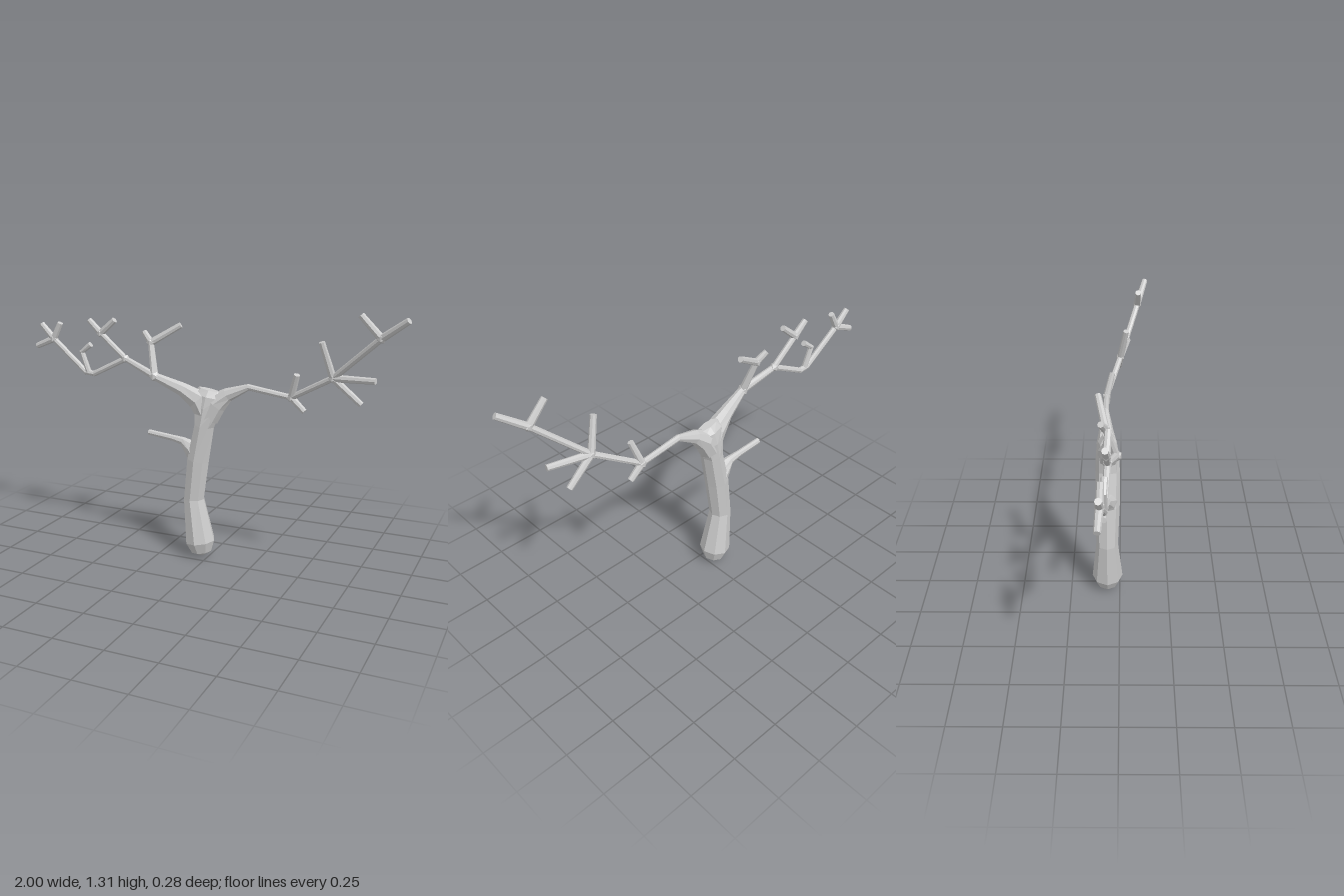
import * as THREE from 'three';

const SIDES = 8;
const TWIG = 0.015;
const material = new THREE.MeshStandardMaterial({ color: 0xcccccc, flatShading: true });

// Closed tube through sections [x, y, z, radius, optional depth radius]
function loft(sections) {
  const pts = sections.map(s => new THREE.Vector3(s[0], s[1], s[2]));
  const zAxis = new THREE.Vector3(0, 0, 1);
  const pos = [], index = [];
  const last = pts.length - 1;
  pts.forEach((p, i) => {
    const t = new THREE.Vector3();
    if (i > 0) t.add(p.clone().sub(pts[i - 1]).normalize());
    if (i < last) t.add(pts[i + 1].clone().sub(p).normalize());
    t.normalize();
    const u = t.clone().cross(zAxis).normalize();
    const v = t.clone().cross(u);
    const r = sections[i][3] ?? TWIG;
    const depth = sections[i][4] ?? r;
    for (let j = 0; j < SIDES; j++) {
      const a = (j / SIDES) * Math.PI * 2;
      const q = p.clone().addScaledVector(u, r * Math.cos(a)).addScaledVector(v, depth * Math.sin(a));
      pos.push(q.x, q.y, q.z);
    }
  });
  for (let i = 0; i < last; i++) {
    for (let j = 0; j < SIDES; j++) {
      const k = (j + 1) % SIDES;
      const a = i * SIDES + j, b = i * SIDES + k;
      index.push(a, b, b + SIDES, a, b + SIDES, a + SIDES);
    }
  }
  // End caps
  const start = pos.length / 3;
  pos.push(...pts[0].toArray(), ...pts[last].toArray());
  for (let j = 0; j < SIDES; j++) {
    const k = (j + 1) % SIDES;
    index.push(start, k, j, start + 1, last * SIDES + j, last * SIDES + k);
  }
  const geo = new THREE.BufferGeometry();
  geo.setAttribute('position', new THREE.Float32BufferAttribute(pos, 3));
  geo.setIndex(index);
  const flat = geo.toNonIndexed();
  flat.computeVertexNormals();
  return flat;
}

export function createModel() {
  const tree = new THREE.Group();
  tree.name = 'bareTree';

  const add = (name, sections) => {
    const mesh = new THREE.Mesh(loft(sections), material);
    mesh.name = name;
    tree.add(mesh);
  };
  // Slight swelling where twigs meet
  const knot = (p, r = 0.023) => {
    const mesh = new THREE.Mesh(new THREE.IcosahedronGeometry(r, 0), material);
    mesh.position.set(...p);
    mesh.name = 'knot';
    tree.add(mesh);
  };
  // Twigs fanning out from one joint
  const fan = (name, joint, tips) => {
    knot(joint);
    tips.forEach(tip => add(name, [[...joint, 0.018], tip]));
  };

  // Trunk with a rounded foot and a crown widening into the two limbs
  add('trunk', [
    [-0.035, 0.005, -0.063, 0.004],
    [-0.038, 0.03, -0.063, 0.053],
    [-0.045, 0.085, -0.063, 0.077],
    [-0.08, 0.31, -0.063, 0.054],
    [-0.055, 0.52, -0.06, 0.058, 0.06],
    [-0.02, 0.7, -0.058, 0.051, 0.059],
    [-0.005, 0.79, -0.06, 0.073, 0.055],
    [0.005, 0.85, -0.06, 0.082, 0.045],
    [0.01, 0.88, -0.06, 0.06, 0.022],
  ]);

  // Short side branch on the trunk
  add('sideBranch', [
    [-0.045, 0.51, -0.06, 0.055],
    [-0.085, 0.57, -0.062, 0.048],
    [-0.14, 0.602, -0.065, 0.022],
    [-0.2, 0.612, -0.068, 0.016],
    [-0.335, 0.626, -0.072],
  ]);

  // Right-hand limb
  const rightFork = [-0.27, 0.932, -0.015];
  const rightElbow = [-0.45, 1.0, -0.05];
  const rightBend = [-0.67, 0.907, -0.06];
  const rightHub = [-0.885, 1.07, -0.073];
  add('rightLimb', [
    [-0.01, 0.75, -0.058, 0.052],
    [-0.05, 0.825, -0.053, 0.058, 0.05],
    [-0.13, 0.873, -0.04, 0.036],
    [...rightFork, 0.02],
    [...rightElbow, 0.016],
    [-0.64, 0.907, -0.06],
    [-0.69, 0.912, -0.061],
    rightHub,
  ]);
  fan('rightTwig', rightHub, [
    [-0.957, 1.143, -0.075], [-0.84, 1.155, -0.07], [-0.993, 1.025, -0.08],
  ]);
  add('crookedTwig', [rightBend, [-0.71, 1.015, -0.062], [-0.655, 1.057, -0.058]]);

  const middleHub = [-0.59, 1.12, -0.052];
  knot(rightElbow);
  add('middleBranch', [rightElbow, middleHub]);
  fan('middleTwig', middleHub, [[-0.658, 1.183, -0.055], [-0.505, 1.192, -0.045]]);

  const innerHub = [-0.31, 1.09, -0.06];
  knot(rightFork, 0.028);
  add('innerBranch', [[...rightFork, 0.02], innerHub]);
  fan('innerTwig', innerHub, [[-0.357, 1.137, -0.08], [-0.163, 1.18, -0.096]]);

  // Left-hand limb, sweeping forward
  const leftFork = [0.42, 0.877, -0.07];
  const leftHub = [0.637, 1.0, 0.0];
  const leftTop = [0.867, 1.207, 0.09];
  add('leftLimb', [
    [0.0, 0.74, -0.06, 0.054],
    [0.04, 0.815, -0.063, 0.055, 0.05],
    [0.1, 0.862, -0.067, 0.034],
    [0.205, 0.907, -0.07, 0.016],
    leftFork,
    leftHub,
    leftTop,
  ]);
  fan('lowerTwig', leftFork, [[0.455, 0.993, -0.04], [0.487, 0.815, -0.067]]);
  fan('hubTwig', leftHub, [
    [0.588, 1.165, 0.03], [0.84, 1.01, 0.04], [0.77, 0.888, -0.007],
  ]);
  fan('topTwig', leftTop, [[0.775, 1.303, 0.092], [0.988, 1.295, 0.13]]);

  return tree;
}
